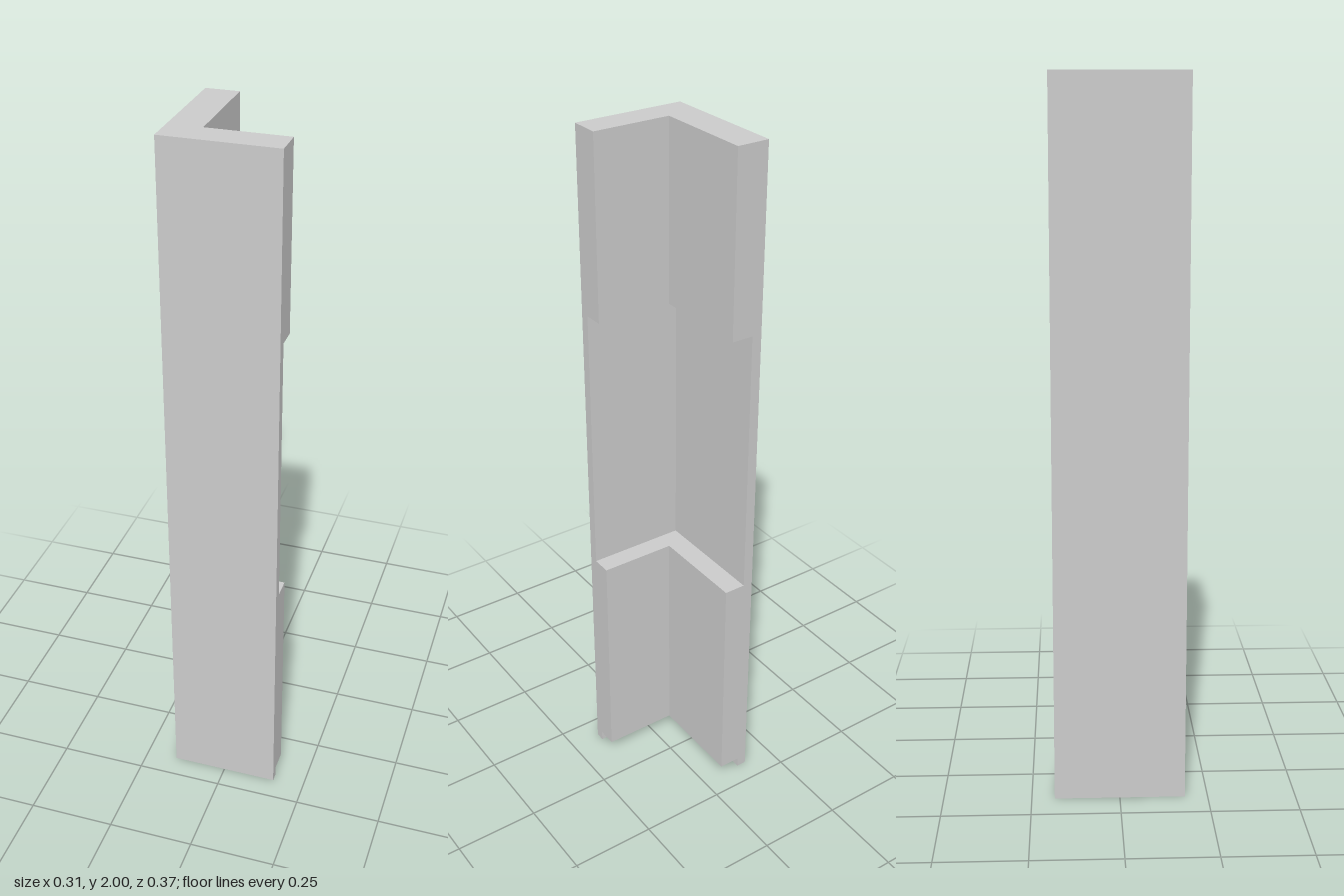
import * as THREE from 'three';

const X = 0.157, Z = 0.185;

// L-shaped cross-section, counter-clockwise from above, for given leg thicknesses
function section(y, sideThick, frontThick) {
  const xi = -X + sideThick, zi = Z - frontThick;
  return [[-X, -Z], [-X, Z], [X, Z], [X, zi], [xi, zi], [xi, -Z]]
    .map(([x, z]) => [x, y, z]);
}
const thin = y => section(y, 0.029, 0.027);
const thick = y => section(y, 0.092, 0.084);

export function createModel() {
  // Sections from bottom to top; the two notches are cut into the inner side
  const rings = [
    thin(0), thin(0.03), thick(0.03), thick(0.7),
    thin(0.7), thin(1.49), thick(1.49), thick(2),
  ];
  const positions = [];
  const quad = (a, b, c, d) => positions.push(...a, ...b, ...c, ...a, ...c, ...d);

  for (let r = 0; r < rings.length - 1; r++) {
    const lo = rings[r], hi = rings[r + 1];
    const ledge = lo[0][1] === hi[0][1];
    // Horizontal ledges only exist along the two inner faces
    for (let i = ledge ? 3 : 0; i < (ledge ? 5 : 6); i++) {
      const j = (i + 1) % 6;
      quad(lo[i], lo[j], hi[j], hi[i]);
    }
  }

  // End caps
  const [A, B, C, D, E, F] = rings[rings.length - 1];
  quad(A, B, E, F);
  quad(B, C, D, E);
  const [a, b, c, d, e, f] = rings[0];
  quad(f, e, b, a);
  quad(e, d, c, b);

  const geometry = new THREE.BufferGeometry();
  geometry.setAttribute('position', new THREE.Float32BufferAttribute(positions, 3));
  geometry.computeVertexNormals();

  const post = new THREE.Mesh(
    geometry,
    new THREE.MeshStandardMaterial({ color: 0xcccccc, flatShading: true }),
  );
  post.name = 'notchedCornerPost';

  const group = new THREE.Group();
  group.name = 'cornerPost';
  group.add(post);
  return group;
}
